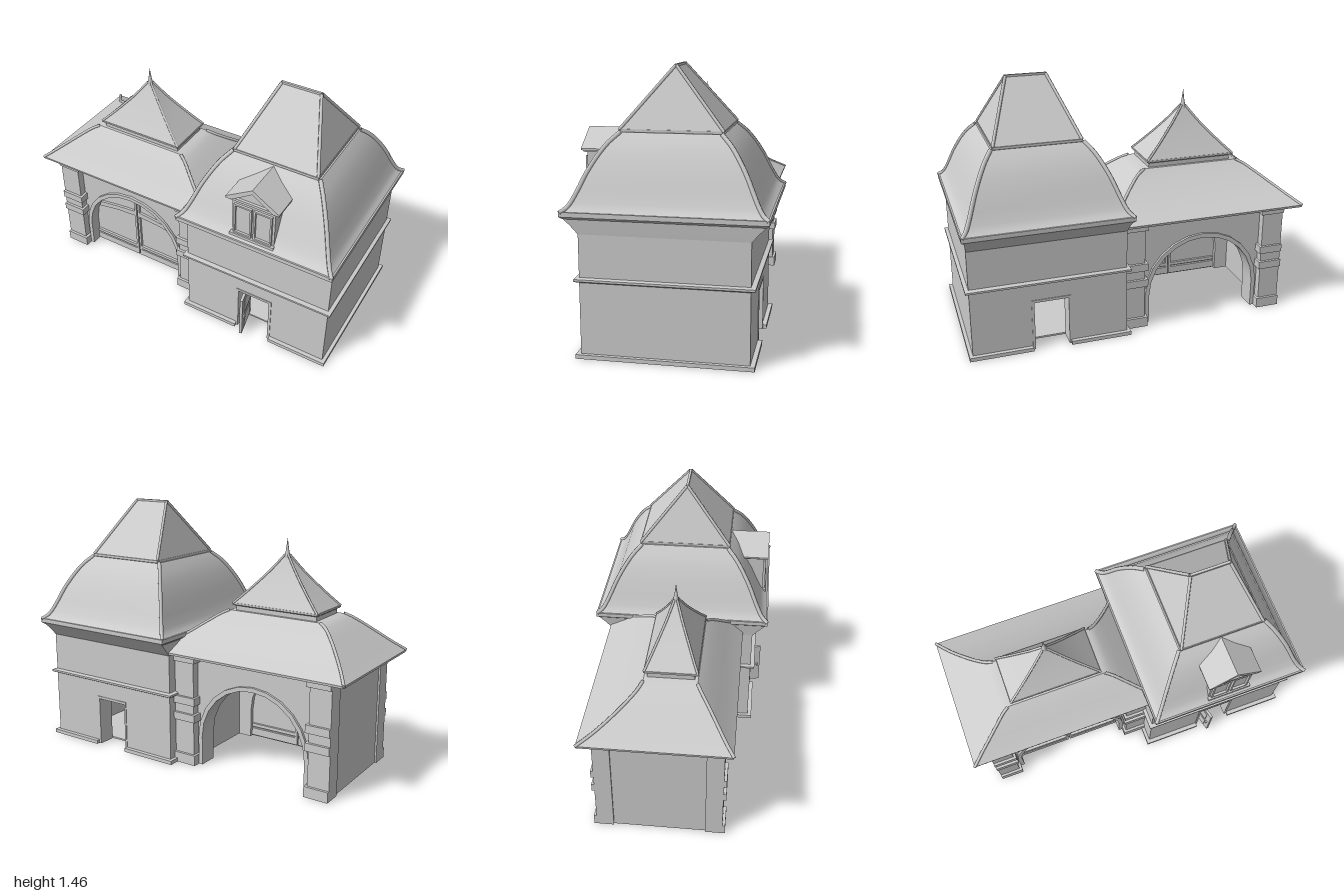
import * as THREE from 'three';
import { toCreasedNormals } from 'three/addons/utils/BufferGeometryUtils.js';

const material = new THREE.MeshStandardMaterial({ color: 0xcccccc, side: THREE.DoubleSide });
const GX = -0.415; // centre line of the gateway

function add(parent, name, geometry) {
  const mesh = new THREE.Mesh(geometry, material);
  mesh.name = name;
  parent.add(mesh);
  return mesh;
}

function box(parent, name, x0, x1, y0, y1, z0, z1) {
  const mesh = add(parent, name, new THREE.BoxGeometry(x1 - x0, y1 - y0, z1 - z0));
  mesh.position.set((x0 + x1) / 2, (y0 + y1) / 2, (z0 + z1) / 2);
  return mesh;
}

// Extrude a shape drawn in x, y from z0 to z1
function slab(parent, name, shape, z0, z1) {
  const g = new THREE.ExtrudeGeometry(shape, { depth: z1 - z0, bevelEnabled: false });
  g.translate(0, 0, z0);
  return add(parent, name, toCreasedNormals(g, 0.5));
}

const polygon = (pts) => new THREE.Shape(pts.map((p) => new THREE.Vector2(...p)));

// Corners of a rectangular ring [y, x0, x1, z0, z1]
const corners = ([y, x0, x1, z0, z1]) => [[x0, y, z1], [x1, y, z1], [x1, y, z0], [x0, y, z0]];

// Skin a stack of rectangular rings, bottom to top, with end caps
function loft(parent, name, rings) {
  const pos = [];
  const quad = (a, b, c, d) => pos.push(...a, ...b, ...c, ...a, ...c, ...d);
  const cs = rings.map(corners);
  for (let i = 0; i + 1 < cs.length; i++) {
    for (let k = 0; k < 4; k++) {
      const n = (k + 1) % 4;
      quad(cs[i][k], cs[i][n], cs[i + 1][n], cs[i + 1][k]);
    }
  }
  quad(...cs[cs.length - 1]);
  quad(...[...cs[0]].reverse());
  const g = new THREE.BufferGeometry();
  g.setAttribute('position', new THREE.Float32BufferAttribute(pos, 3));
  return add(parent, name, toCreasedNormals(g, 0.5));
}

// Rounded ribs along the four hips of a lofted roof
function hipRibs(parent, rings, radius) {
  for (let k = 0; k < 4; k++) {
    const curve = new THREE.CatmullRomCurve3(rings.map((r) => new THREE.Vector3(...corners(r)[k])));
    add(parent, 'hipRib', new THREE.TubeGeometry(curve, 24, radius, 6));
  }
}

const mid = (y, cx, hx, cz, hz) => [y, cx - hx, cx + hx, cz - hz, cz + hz];

// Faceted arch outline standing on y = 0
function archPoints(half, top) {
  const pts = [[GX - half, 0]];
  for (let i = 0; i <= 12; i++) {
    const a = Math.PI * (1 - i / 12);
    pts.push([GX + half * Math.cos(a), 0.17 + (top - 0.17) * Math.sin(a)]);
  }
  pts.push([GX + half, 0]);
  return pts;
}

function buildHouse() {
  const house = new THREE.Group();
  house.name = 'house';
  const d0 = 0.42, d1 = 0.615, cx = 0.525;

  // Walls with a doorway front and back, floor and ceiling
  const facade = polygon([[0.08, 0], [d0, 0], [d0, 0.29], [d1, 0.29], [d1, 0], [0.965, 0], [0.965, 0.74], [0.08, 0.74]]);
  slab(house, 'frontWall', facade, 0.33, 0.43);
  slab(house, 'backWall', facade, -0.43, -0.33);
  box(house, 'sideWall', 0.08, 0.18, 0, 0.74, -0.33, 0.33);
  box(house, 'sideWall', 0.865, 0.965, 0, 0.74, -0.33, 0.33);
  box(house, 'floor', 0.18, 0.865, 0.002, 0.012, -0.33, 0.33);
  box(house, 'ceiling', 0.18, 0.865, 0.6, 0.64, -0.33, 0.33);

  // Belt course, plinth and door casings
  loft(house, 'beltCourse', [[0.4, 0.07, 0.975, -0.44, 0.44], [0.407, 0.06, 0.985, -0.454, 0.454],
    [0.418, 0.06, 0.985, -0.454, 0.454], [0.424, 0.08, 0.965, -0.43, 0.43]]);
  for (const s of [-1, 1]) {
    const za = s > 0 ? 0.42 : -0.454, zb = s > 0 ? 0.454 : -0.42;
    box(house, 'plinth', 0.06, d0 - 0.01, 0, 0.022, za, zb);
    box(house, 'plinth', d1 + 0.015, 0.985, 0, 0.022, za, zb);
    box(house, 'plinth', s > 0 ? 0.955 : 0.06, s > 0 ? 0.985 : 0.09, 0, 0.022, -0.42, 0.42);
    const z0 = s > 0 ? 0.42 : -0.434, z1 = s > 0 ? 0.434 : -0.42;
    box(house, 'doorCasing', d0 - 0.012, d0, 0, 0.305, z0, z1);
    box(house, 'doorCasing', d1, d1 + 0.015, 0, 0.305, z0, z1);
    box(house, 'doorCasing', d0, d1, 0.29, 0.305, z0, z1);
  }

  // Open door leaf with panels and a handle
  const door = new THREE.Group();
  door.name = 'door';
  box(door, 'doorLeaf', -0.008, 0.008, 0.014, 0.285, 0, 0.185);
  for (const y of [0.03, 0.16]) box(door, 'doorPanel', -0.012, 0.012, y, y + 0.1, 0.03, 0.15);
  box(door, 'doorHandle', -0.02, 0.02, 0.135, 0.15, 0.16, 0.172);
  door.position.set(0.43, 0, 0.31);
  door.rotation.y = 0.22;
  house.add(door);

  // Cove under the eaves
  loft(house, 'cove', [[0.645, 0.08, 0.965, -0.43, 0.43], [0.685, 0.076, 0.97, -0.464, 0.464],
    [0.73, 0.07, 0.975, -0.508, 0.508]]);

  // Bell-shaped lower roof with straight diagonal hips: height, half width
  const skirt = [[0.755, 0.464], [0.775, 0.44], [0.8, 0.425], [0.86, 0.4],
    [0.94, 0.37], [1.02, 0.332], [1.08, 0.296], [1.13, 0.253]]
    .map(([y, hx]) => mid(y, cx, hx, 0, 0.258 + (hx - 0.253) * 1.214));
  loft(house, 'eaves', [mid(0.722, cx, 0.452, 0, 0.502), mid(0.735, cx, 0.468, 0, 0.517), mid(0.759, cx, 0.468, 0, 0.517)]);
  loft(house, 'lowerRoof', skirt);
  hipRibs(house, skirt, 0.012);

  // Steep upper roof with a short ridge
  const cap = [mid(1.142, cx, 0.243, 0, 0.265), mid(1.455, cx, 0.113, 0, 0.003)];
  loft(house, 'upperRoofEaves', [mid(1.122, cx, 0.232, 0, 0.252), mid(1.13, cx, 0.245, 0, 0.268), mid(1.144, cx, 0.245, 0, 0.268)]);
  loft(house, 'upperRoof', cap);
  hipRibs(house, cap, 0.009);
  box(house, 'ridge', cx - 0.113, cx + 0.113, 1.45, 1.462, -0.007, 0.007);

  // Dormer with gabled roof and two casements
  const dx = 0.518;
  slab(house, 'dormerBody', polygon([[dx - 0.125, 0.77], [dx + 0.125, 0.77], [dx + 0.125, 1.02], [dx, 1.1], [dx - 0.125, 1.02]]), 0.27, 0.475);
  slab(house, 'dormerRoof', polygon([[dx - 0.155, 1.015], [dx - 0.12, 1.015], [dx, 1.095], [dx + 0.12, 1.015],
    [dx + 0.155, 1.015], [dx + 0.155, 1.025], [dx, 1.122], [dx - 0.155, 1.025]]), 0.26, 0.5);
  box(house, 'dormerCornice', dx - 0.14, dx + 0.14, 1.005, 1.02, 0.3, 0.49);
  box(house, 'dormerSill', dx - 0.13, dx + 0.13, 0.768, 0.785, 0.4, 0.496);
  for (const x of [dx - 0.112, dx + 0.006]) {
    const frame = polygon([[x, 0.785], [x + 0.106, 0.785], [x + 0.106, 0.98], [x, 0.98]]);
    frame.holes.push(polygon([[x + 0.01, 0.795], [x + 0.01, 0.97], [x + 0.096, 0.97], [x + 0.096, 0.795]]));
    slab(house, 'casement', frame, 0.465, 0.488);
  }
  return house;
}

function buildGateway() {
  const gate = new THREE.Group();
  gate.name = 'gateway';
  const zb = -0.33, zf = 0.28;

  // Arched front and back walls joined by plain side walls, open below
  const arched = polygon([[-0.9, 0], ...archPoints(0.33, 0.5), [0.08, 0], [0.08, 0.655], [-0.9, 0.655]]);
  slab(gate, 'frontWall', arched, zf - 0.1, zf);
  slab(gate, 'backWall', arched, zb, zb + 0.1);
  box(gate, 'sideWall', -0.9, -0.83, 0, 0.655, zb + 0.1, zf - 0.1);
  box(gate, 'sideWall', 0, 0.08, 0, 0.655, zb + 0.1, zf - 0.1);
  const trim = polygon([...archPoints(0.355, 0.525), ...archPoints(0.33, 0.5).reverse()]);
  slab(gate, 'archTrim', trim, zf - 0.01, zf + 0.015);
  slab(gate, 'archTrim', trim, zb - 0.015, zb + 0.01);

  // Banded pillars at the four corners: bottom, top, projection
  const blocks = [[0, 0.65, 0], [0, 0.06, 0.015], [0.26, 0.305, 0.015], [0.36, 0.405, 0.015], [0.61, 0.65, 0.015]];
  for (const s of [-1, 1]) {
    for (const [y0, y1, p] of blocks) {
      const xa = GX + s * 0.495, xb = GX + s * (0.368 - p);
      const x0 = Math.min(xa, xb), x1 = Math.max(xa, xb);
      box(gate, 'frontPillar', x0, x1, y0, y1, zf - 0.05, zf + 0.045 + p);
      box(gate, 'backPillar', x0, x1, y0, y1, zb - 0.045 - p, zb + 0.05);
    }
  }

  // Gate leaves with rails and stiles
  slab(gate, 'gatePanel', polygon(archPoints(0.33, 0.5)), 0.205, 0.225);
  for (const s of [-1, 1]) {
    const bar = (pts) => slab(gate, 'gateRail', polygon(pts.map(([d, y]) => [GX + s * d, y])), 0.19, 0.24);
    bar([[0.004, 0.01], [0.325, 0.01], [0.325, 0.055], [0.004, 0.055]]);
    bar([[0.004, 0.065], [0.325, 0.065], [0.325, 0.085], [0.004, 0.085]]);
    bar([[0.004, 0.335], [0.15, 0.325], [0.295, 0.3], [0.28, 0.335], [0.15, 0.355], [0.004, 0.37]]);
    bar([[0.004, 0.01], [0.018, 0.01], [0.018, 0.49], [0.004, 0.49]]);
  }

  // Flared lower roof: height, half width, back z, front z
  const skirt = [[0.665, 0.585, -0.435, 0.372], [0.71, 0.525, -0.35, 0.325], [0.765, 0.455, -0.265, 0.275],
    [0.82, 0.385, -0.19, 0.225], [0.86, 0.33, -0.142, 0.185], [0.88, 0.29, -0.122, 0.162]]
    .map(([y, hx, b, f]) => [y, GX - hx, GX + hx, b, f]);
  loft(gate, 'lowerRoof', [[0.652, GX - 0.583, GX + 0.583, -0.433, 0.37], ...skirt]);
  hipRibs(gate, skirt, 0.009);

  // Neck, gently concave pyramid roof and finial
  const cz = 0.02;
  loft(gate, 'neck', [mid(0.87, GX, 0.255, cz, 0.125), mid(0.918, GX, 0.255, cz, 0.125)]);
  loft(gate, 'upperEaves', [mid(0.908, GX, 0.262, cz, 0.135), mid(0.914, GX, 0.27, cz, 0.143), mid(0.924, GX, 0.27, cz, 0.143)]);
  const spire = [[0.922, 0.268, 0.141], [0.98, 0.208, 0.11], [1.05, 0.14, 0.075], [1.12, 0.077, 0.042], [1.205, 0.01, 0.008]]
    .map(([y, hx, hz]) => mid(y, GX, hx, cz, hz));
  loft(gate, 'upperRoof', spire);
  hipRibs(gate, spire, 0.007);
  const finial = [[0.018, 1.18], [0.014, 1.21], [0.01, 1.225], [0.005, 1.26], [0, 1.3]].map((p) => new THREE.Vector2(...p));
  add(gate, 'finial', new THREE.LatheGeometry(finial, 12)).position.set(GX, 0, cz);
  return gate;
}

export function createModel() {
  const model = new THREE.Group();
  model.name = 'gatehouse';
  model.add(buildHouse(), buildGateway());
  return model;
}
